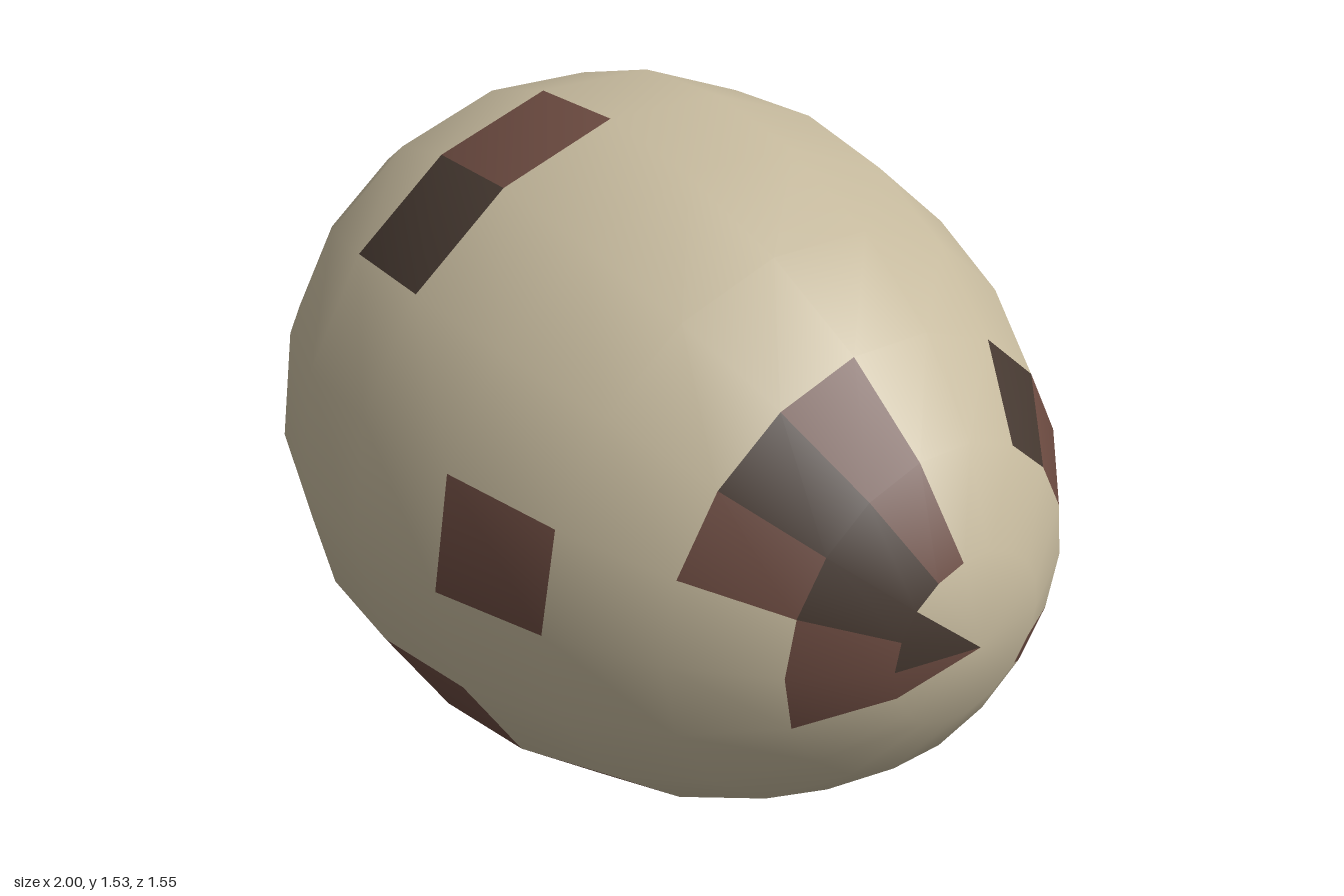
import * as THREE from 'three';

const RINGS = 12, SIDES = 18;

const shell = new THREE.MeshStandardMaterial({ color: 0xc4b89c });
shell.name = 'shellCream';
const brown = new THREE.MeshStandardMaterial({ color: 0x6b4a40 });
brown.name = 'speckleRedBrown';
const dark = new THREE.MeshStandardMaterial({ color: 0x453830 });
dark.name = 'speckleDarkBrown';

// Speckles: band counted from the pointed end (+x) -> cells around the axis, from +z upward
const brownCells = {
  0: [17], 1: [0, 3, 10, 17], 2: [1, 3, 7, 13], 4: [0, 15], 5: [16],
  6: [3, 11], 7: [12], 9: [0], 11: [4, 5],
};
const darkCells = {
  0: [0, 1], 1: [1, 2], 2: [2, 6, 8, 9, 10], 3: [11], 5: [7],
  6: [2], 7: [15], 9: [6, 7, 8],
};

function eggGeometry() {
  // Rings along x, slightly fatter towards -x
  const positions = [];
  for (let i = 0; i <= RINGS; i++) {
    const t = (i / RINGS) * Math.PI;
    const x = Math.cos(t);
    const r = 0.777 * Math.sin(t) * (1 - 0.1 * x);
    for (let j = 0; j < SIDES; j++) {
      const a = (j / SIDES) * Math.PI * 2;
      positions.push(x, r * Math.sin(a), r * Math.cos(a));
    }
  }

  // Faces sorted by colour
  const faces = [[], [], []];
  for (let i = 0; i < RINGS; i++) {
    for (let j = 0; j < SIDES; j++) {
      const n = (j + 1) % SIDES;
      const a = i * SIDES + j, b = i * SIDES + n;
      const c = b + SIDES, d = a + SIDES;
      const colour = brownCells[i]?.includes(j) ? 1 : darkCells[i]?.includes(j) ? 2 : 0;
      if (i < RINGS - 1) faces[colour].push(a, c, d);
      if (i > 0) faces[colour].push(a, b, c);
      if (i === RINGS - 1) faces[colour].push(...(i > 0 ? [] : [a, b, c]));
    }
  }

  const geo = new THREE.BufferGeometry();
  geo.setAttribute('position', new THREE.Float32BufferAttribute(positions, 3));
  geo.setIndex(faces.flat());
  let start = 0;
  faces.forEach((list, m) => {
    geo.addGroup(start, list.length, m);
    start += list.length;
  });

  // Smooth normals, with both poles pointing along the axis
  geo.computeVertexNormals();
  for (let j = 0; j < SIDES; j++) {
    geo.attributes.normal.setXYZ(j, 1, 0, 0);
    geo.attributes.normal.setXYZ(RINGS * SIDES + j, -1, 0, 0);
  }
  return geo;
}

export function createModel() {
  const group = new THREE.Group();
  group.name = 'speckledEgg';
  const egg = new THREE.Mesh(eggGeometry(), [shell, brown, dark]);
  egg.name = 'eggShell';
  egg.position.y = 0.766;
  group.add(egg);
  return group;
}
